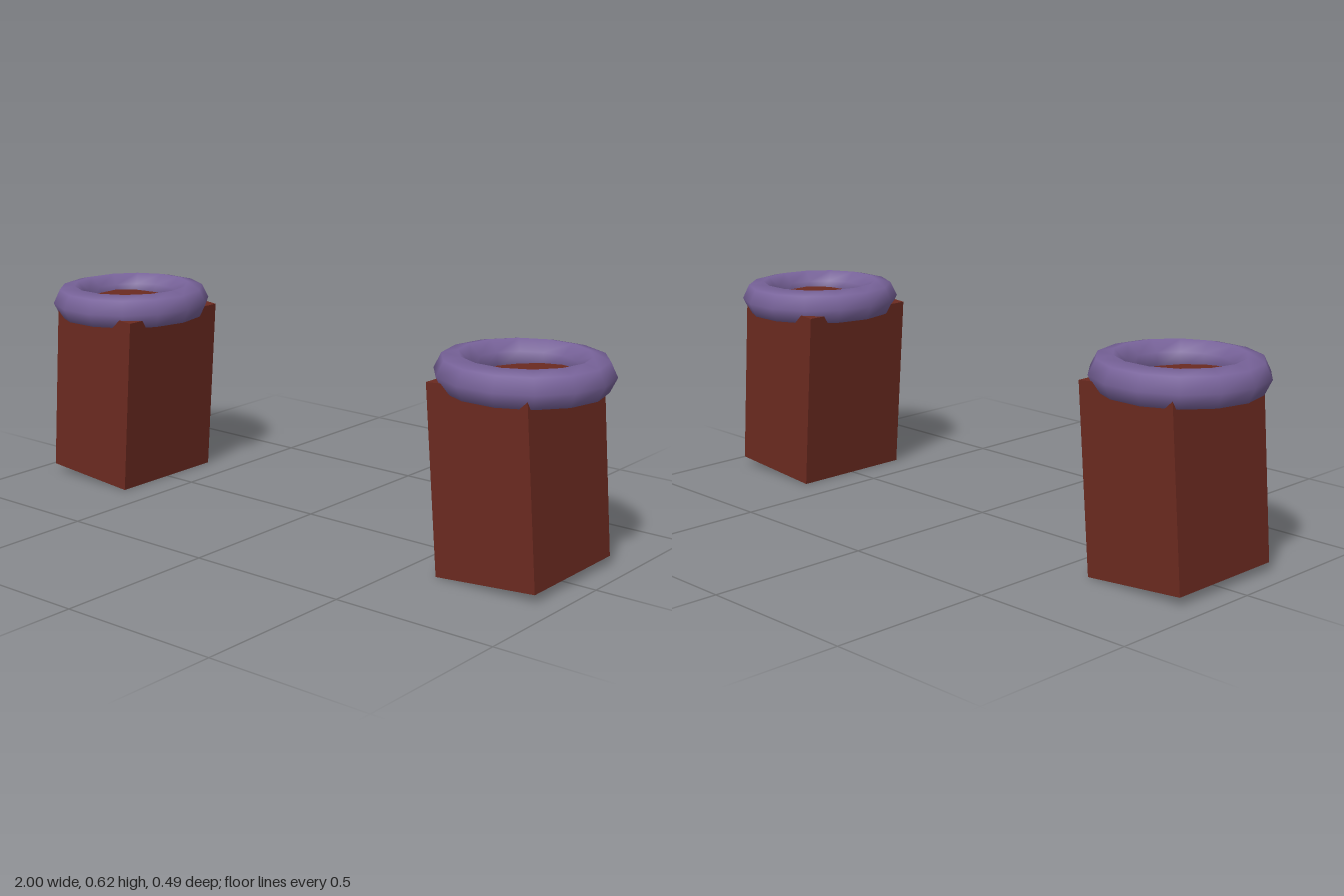
import * as THREE from 'three';

export function createModel() {
  const model = new THREE.Group();
  const brown = new THREE.MeshStandardMaterial({ color: 0x6b2a20 });
  const purple = new THREE.MeshStandardMaterial({ color: 0x78639a });

  const blockGeometry = new THREE.BoxGeometry(0.322, 0.55, 0.39);
  // Low-sided ring laid flat
  const ringGeometry = new THREE.TorusGeometry(0.195, 0.055, 7, 14).rotateX(Math.PI / 2);

  for (const [side, s] of [['left', 1], ['right', -1]]) {
    const pillar = new THREE.Group();
    pillar.name = side + 'Pillar';

    // Block leaning inward at the top
    const block = new THREE.Mesh(blockGeometry, brown);
    block.name = side + 'Block';
    block.position.set(s * 0.745, 0.287, 0);
    block.rotation.z = s * 0.082;

    // Level ring sunk over the top of the block
    const ring = new THREE.Mesh(ringGeometry, purple);
    ring.name = side + 'Ring';
    ring.position.set(s * 0.75, 0.567, 0);
    ring.rotation.y = s > 0 ? 0 : Math.PI;

    pillar.add(block, ring);
    model.add(pillar);
  }
  return model;
}
